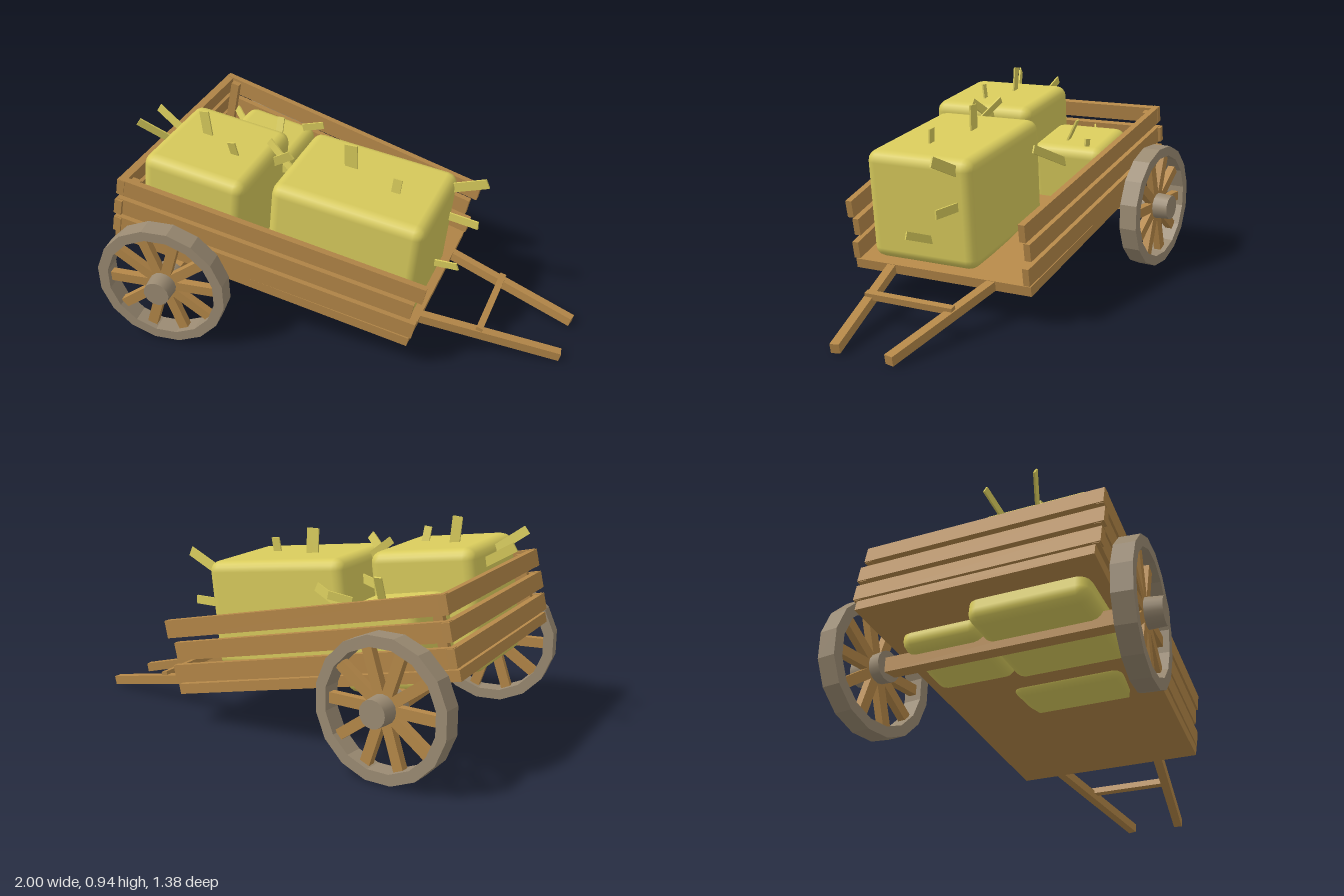
import * as THREE from 'three';
import { RoundedBoxGeometry } from 'three/addons/geometries/RoundedBoxGeometry.js';

export function createModel() {
  const mat = (name, color) => {
    const m = new THREE.MeshStandardMaterial({ color });
    m.name = name;
    return m;
  };
  const wood = mat('wood', 0xb48748);
  const rimMat = mat('weatheredRim', 0x9a8a72);
  const hay = mat('hay', 0xd8cb5c);

  const model = new THREE.Group();
  model.name = 'hayCart';

  const add = (parent, name, geo, material, x = 0, y = 0, z = 0) => {
    const m = new THREE.Mesh(geo, material);
    m.name = name;
    m.position.set(x, y, z);
    parent.add(m);
    return m;
  };
  const box = (parent, name, w, h, d, x, y, z) =>
    add(parent, name, new THREE.BoxGeometry(w, h, d), wood, x, y, z);

  // Cart body, tipped forward around the axle
  const body = new THREE.Group();
  body.name = 'cartBody';
  body.position.set(-0.7, 0.3, 0);
  body.rotation.z = -0.215;
  model.add(body);

  // Floor narrows towards the handles
  const floorShape = new THREE.Shape([
    new THREE.Vector2(-0.3, -0.52), new THREE.Vector2(1.09, -0.435),
    new THREE.Vector2(1.09, 0.435), new THREE.Vector2(-0.3, 0.52),
  ]);
  const floorGeo = new THREE.ExtrudeGeometry(floorShape, { depth: 0.045, bevelEnabled: false });
  floorGeo.rotateX(Math.PI / 2);
  add(body, 'floor', floorGeo, wood, 0, 0.115, 0);

  // Side and tail planks, three rows each
  [[0.163, 1.4, 1.08], [0.264, 1.37, 1.09], [0.367, 1.4, 1.07]].forEach(([v, len, tail]) => {
    for (const s of [1, -1]) {
      const p = box(body, 'sidePlank', len, 0.08, 0.03, -0.3 + len / 2, v, s * 0.47);
      p.rotation.y = s * 0.071;
    }
    box(body, 'tailPlank', 0.035, 0.075, tail, -0.285, v, 0);
  });

  for (const s of [1, -1]) {
    // Inner corner post
    box(body, 'cornerPost', 0.04, 0.28, 0.03, -0.24, 0.255, s * 0.485);
    // Handle shaft
    const h = box(body, 'handle', 0.68, 0.042, 0.04, 1.385, 0.092, s * 0.19);
    h.rotation.y = s * 0.193;
  }
  box(body, 'handleCrossbar', 0.03, 0.03, 0.42, 1.35, 0.115, 0);

  // Axle
  box(model, 'axle', 0.065, 0.065, 1.12, -0.7, 0.3, 0);

  // Wheels
  const ring = new THREE.Shape();
  const hole = new THREE.Path();
  const SIDES = 16;
  for (let i = 0; i < SIDES; i++) {
    const a = ((i + 0.5) / SIDES) * Math.PI * 2;
    const c = Math.cos(a), n = Math.sin(a);
    if (i) {
      ring.lineTo(c * 0.297, n * 0.297);
      hole.lineTo(c * 0.25, n * 0.25);
    } else {
      ring.moveTo(c * 0.297, n * 0.297);
      hole.moveTo(c * 0.25, n * 0.25);
    }
  }
  ring.holes.push(hole);
  const rimGeo = new THREE.ExtrudeGeometry(ring, { depth: 0.085, bevelEnabled: false });
  rimGeo.translate(0, 0, -0.0425);
  const hubGeo = new THREE.CylinderGeometry(0.058, 0.068, 0.16, 16).rotateX(Math.PI / 2);
  const spokeGeo = new THREE.BoxGeometry(0.215, 0.045, 0.035).translate(0.153, 0, 0);

  for (const s of [1, -1]) {
    const wheel = new THREE.Group();
    wheel.name = s > 0 ? 'leftWheel' : 'rightWheel';
    wheel.position.set(-0.7, 0.303, s * 0.595);
    wheel.rotation.y = s > 0 ? 0.11 : Math.PI - 0.11;
    model.add(wheel);
    add(wheel, 'rim', rimGeo, rimMat);
    add(wheel, 'hub', hubGeo, rimMat, 0, 0, 0.01);
    for (let i = 0; i < 10; i++) {
      add(wheel, 'spoke', spokeGeo, wood).rotation.z = (i / 10) * Math.PI * 2;
    }
  }

  // Hay bales: size, centre, tilt
  [
    ['rearBale', [0.48, 0.53, 0.52], [-0.625, 0.555, 0.192], -0.13],
    ['smallBale', [0.36, 0.35, 0.37], [-0.59, 0.47, -0.245], -0.17],
    ['frontBale', [0.7, 0.5, 0.525], [0.045, 0.478, 0.098], -0.115],
  ].forEach(([name, size, pos, tilt]) => {
    add(model, name, new RoundedBoxGeometry(...size, 2, 0.05), hay, ...pos).rotation.z = tilt;
  });

  // Loose straws: root, tip, width
  [
    [[-0.8, 0.78, 0.2], [-0.95, 0.89, 0.26], 0.04],
    [[-0.82, 0.76, 0.08], [-0.97, 0.85, 0.05], 0.04],
    [[-0.66, 0.78, 0.155], [-0.675, 0.94, 0.155], 0.045],
    [[-0.49, 0.77, 0.23], [-0.5, 0.87, 0.25], 0.035],
    [[-0.4, 0.7, 0.1], [-0.25, 0.82, 0.18], 0.04],
    [[-0.24, 0.71, 0.16], [-0.39, 0.82, 0.1], 0.035],
    [[-0.42, 0.62, 0], [-0.28, 0.65, 0.04], 0.04],
    [[-0.02, 0.7, 0.05], [-0.02, 0.85, 0.055], 0.06],
    [[0.21, 0.66, 0.14], [0.225, 0.775, 0.13], 0.04],
    [[0.36, 0.62, -0.1], [0.57, 0.71, -0.07], 0.045],
    [[0.36, 0.485, -0.1], [0.54, 0.48, -0.07], 0.04],
    [[0.36, 0.31, 0.04], [0.5, 0.36, 0.1], 0.035],
    [[-0.43, 0.53, -0.25], [-0.17, 0.64, -0.18], 0.04],
    [[-0.43, 0.64, -0.35], [-0.33, 0.66, -0.37], 0.035],
    [[-0.43, 0.48, -0.36], [-0.33, 0.49, -0.38], 0.035],
    [[-0.5, 0.62, -0.21], [-0.5, 0.73, -0.26], 0.035],
    [[-0.74, 0.55, -0.38], [-0.84, 0.61, -0.46], 0.04],
    [[-0.74, 0.6, -0.26], [-0.84, 0.64, -0.22], 0.035],
  ].forEach(([from, to, width]) => {
    const a = new THREE.Vector3(...from), b = new THREE.Vector3(...to);
    const along = b.clone().sub(a);
    const len = along.length();
    along.normalize();
    const across = new THREE.Vector3(0, 0, 1).cross(along).normalize();
    const thick = along.clone().cross(across);
    const straw = add(model, 'straw', new THREE.BoxGeometry(len, width, 0.008), hay);
    straw.quaternion.setFromRotationMatrix(new THREE.Matrix4().makeBasis(along, across, thick));
    straw.position.copy(a.add(b).multiplyScalar(0.5));
  });

  return model;
}
